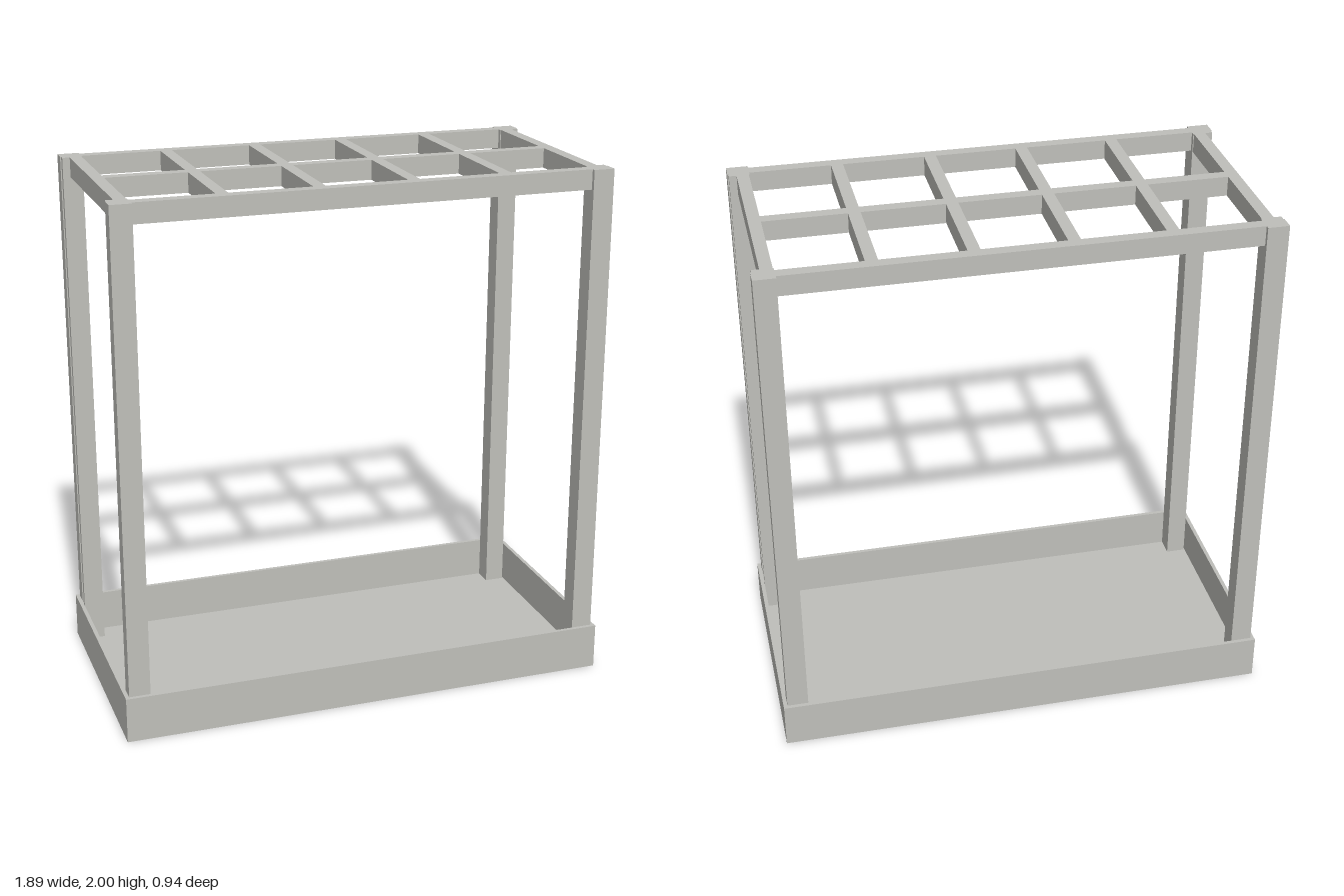
import * as THREE from 'three';

export function createModel() {
  const model = new THREE.Group();
  model.name = 'frameStand';
  const grey = new THREE.MeshStandardMaterial({ color: 0xbfbfba });
  grey.name = 'light grey';

  // Box given by its limits on each axis
  function box(name, [x0, x1], [y0, y1], [z0, z1], parent = model) {
    const mesh = new THREE.Mesh(new THREE.BoxGeometry(x1 - x0, y1 - y0, z1 - z0), grey);
    mesh.position.set((x0 + x1) / 2, (y0 + y1) / 2, (z0 + z1) / 2);
    mesh.name = name;
    parent.add(mesh);
  }
  const span = (side, a, b) => (side > 0 ? [a, b] : [-b, -a]);

  const W = 0.945, D = 0.472, wall = 0.015, floor = 0.015, trayTop = 0.175;
  const top = 2, railBottom = 1.925;
  const innerX = 0.853, innerZ = 0.397, bar = 0.045;

  // Shallow open tray
  const tray = new THREE.Group();
  tray.name = 'tray';
  model.add(tray);
  box('trayFloor', [-W, W], [0, floor], [-D, D], tray);
  for (const s of [-1, 1]) {
    box('trayLongWall', [-W, W], [floor, trayTop], span(s, D - wall, D), tray);
    box('trayEndWall', span(s, W - wall, W), [floor, trayTop], [-D + wall, D - wall], tray);
  }

  // Corner posts, with a slight step along the inner edge of the outer side
  for (const sx of [-1, 1]) for (const sz of [-1, 1]) {
    const post = new THREE.Group();
    post.name = 'cornerPost';
    model.add(post);
    box('postBody', span(sx, 0.85, 0.93), [floor, top], span(sz, 0.402, D - wall), post);
    box('postInnerEdge', span(sx, 0.85, 0.926), [floor, top], span(sz, 0.38, 0.402), post);
  }

  // Top frame and dividers, five cells by two
  const grid = new THREE.Group();
  grid.name = 'topGrid';
  model.add(grid);
  const y = [railBottom, top];
  for (const s of [-1, 1]) {
    box('longRail', [-innerX, innerX], y, span(s, innerZ, innerZ + bar), grid);
    box('endRail', span(s, innerX, innerX + bar), y, [-0.38, 0.38], grid);
  }
  box('longDivider', [-innerX, innerX], y, [-bar / 2, bar / 2], grid);
  const cell = (2 * innerX - 4 * bar) / 5;
  for (let i = 1; i < 5; i++) {
    const x = -innerX + i * cell + (i - 1) * bar;
    for (const s of [-1, 1]) box('crossDivider', [x, x + bar], y, span(s, bar / 2, innerZ), grid);
  }
  return model;
}
